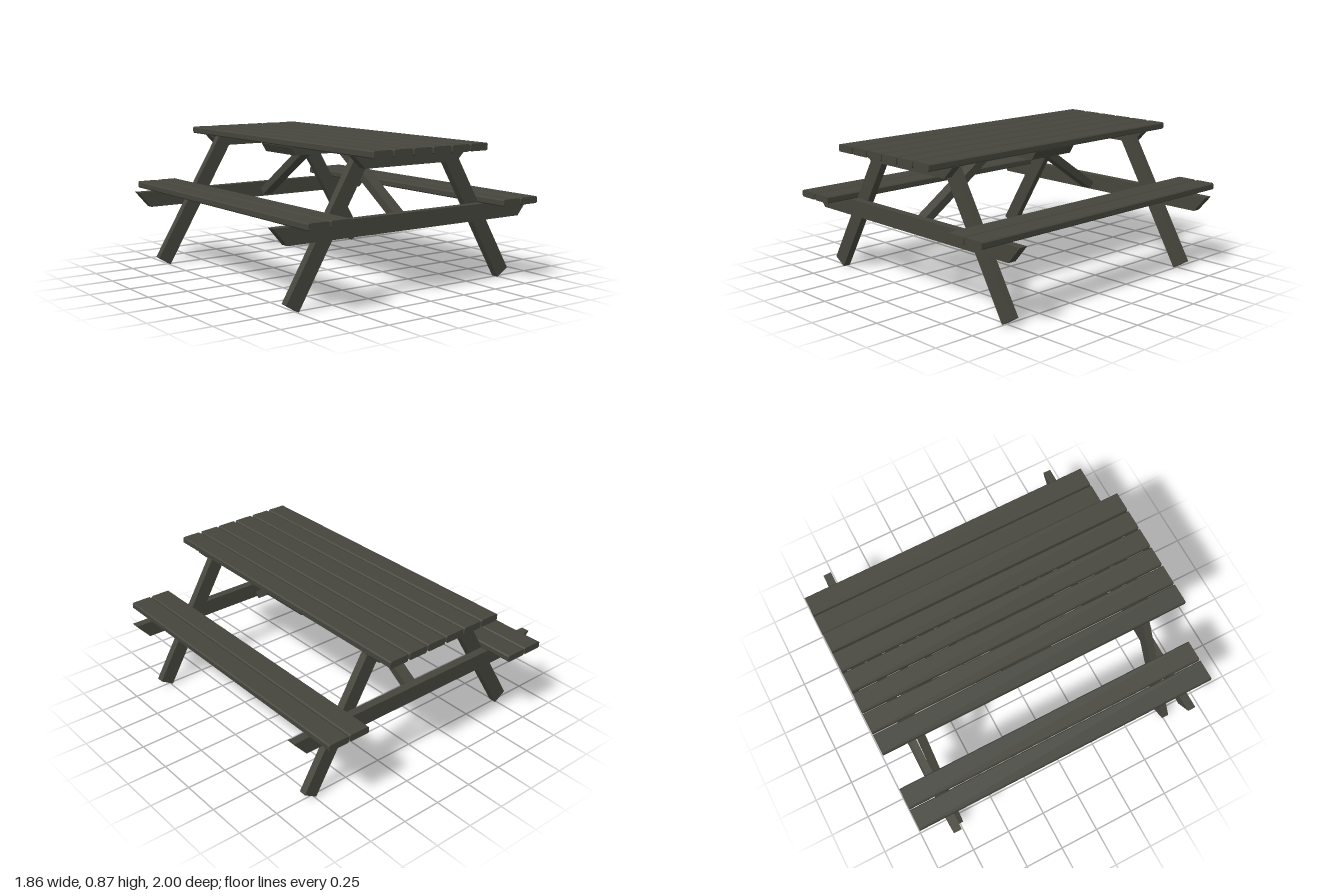
import * as THREE from 'three';

const wood = new THREE.MeshStandardMaterial({ color: 0x45453d });
wood.name = 'darkWood';

// Extrudes a flat outline, centred along z
function prism(points, depth) {
  const shape = new THREE.Shape(points.map(([x, y]) => new THREE.Vector2(x, y)));
  return new THREE.ExtrudeGeometry(shape, { depth, bevelEnabled: false }).translate(0, 0, -depth / 2);
}

// Board section with eased corners
function boardSection(w, h, c) {
  const a = w / 2, b = h / 2;
  return [[-a + c, -b], [a - c, -b], [a, -b + c], [a, b - c], [a - c, b], [-a + c, b], [-a, b - c], [-a, -b + c]];
}

// Crossbar whose ends slope inwards towards the bottom
const bar = (top, bottom, y0, y1) => [[-bottom, y0], [bottom, y0], [top, y1], [-top, y1]];

export function createModel() {
  const model = new THREE.Group();
  model.name = 'picnicTable';

  function add(name, geometry, x = 0, y = 0, z = 0) {
    const mesh = new THREE.Mesh(geometry, wood);
    mesh.name = name;
    mesh.position.set(x, y, z);
    model.add(mesh);
  }

  // Table top: six boards
  const topBoard = prism(boardSection(0.128, 0.043, 0.007), 2);
  for (let i = 0; i < 6; i++) add('tableBoard', topBoard, (i - 2.5) * 0.139, 0.847);

  // Benches: two boards on each side
  const benchBoard = prism(boardSection(0.133, 0.042, 0.007), 2);
  for (const x of [-0.762, -0.62, 0.62, 0.762]) add('benchBoard', benchBoard, x, 0.504);

  // End frames: crossbars outside, slanted legs inside
  const topBar = prism(bar(0.41, 0.335, 0.753, 0.826), 0.052);
  const benchBar = prism(bar(0.932, 0.845, 0.383, 0.483), 0.052);
  const leg = [[-0.74, 0], [-0.247, 0.826], [-0.357, 0.826], [-0.82, 0.05]];
  const legs = {
    rightLeg: prism(leg, 0.047),
    leftLeg: prism(leg.map(([x, y]) => [-x, y]).reverse(), 0.047),
  };
  for (const s of [-1, 1]) {
    add('topCrossbar', topBar, 0, 0, s * 0.803);
    add('benchCrossbar', benchBar, 0, 0, s * 0.803);
    for (const name in legs) add(name, legs[name], 0, 0, s * 0.753);
  }

  // Diagonal braces from the end frames up to the middle of the top
  const brace = [[0.709, 0.407], [0.738, 0.447], [0.172, 0.825], [0.155, 0.825], [0.155, 0.777]];
  add('frontBrace', prism(brace, 0.074).rotateY(-Math.PI / 2));
  add('backBrace', prism(brace.map(([z, y]) => [-z, y]).reverse(), 0.074).rotateY(-Math.PI / 2));

  // Wide batten under the middle of the top
  add('middleBatten', prism(bar(0.38, 0.35, 0.768, 0.818), 0.33));

  return model;
}
